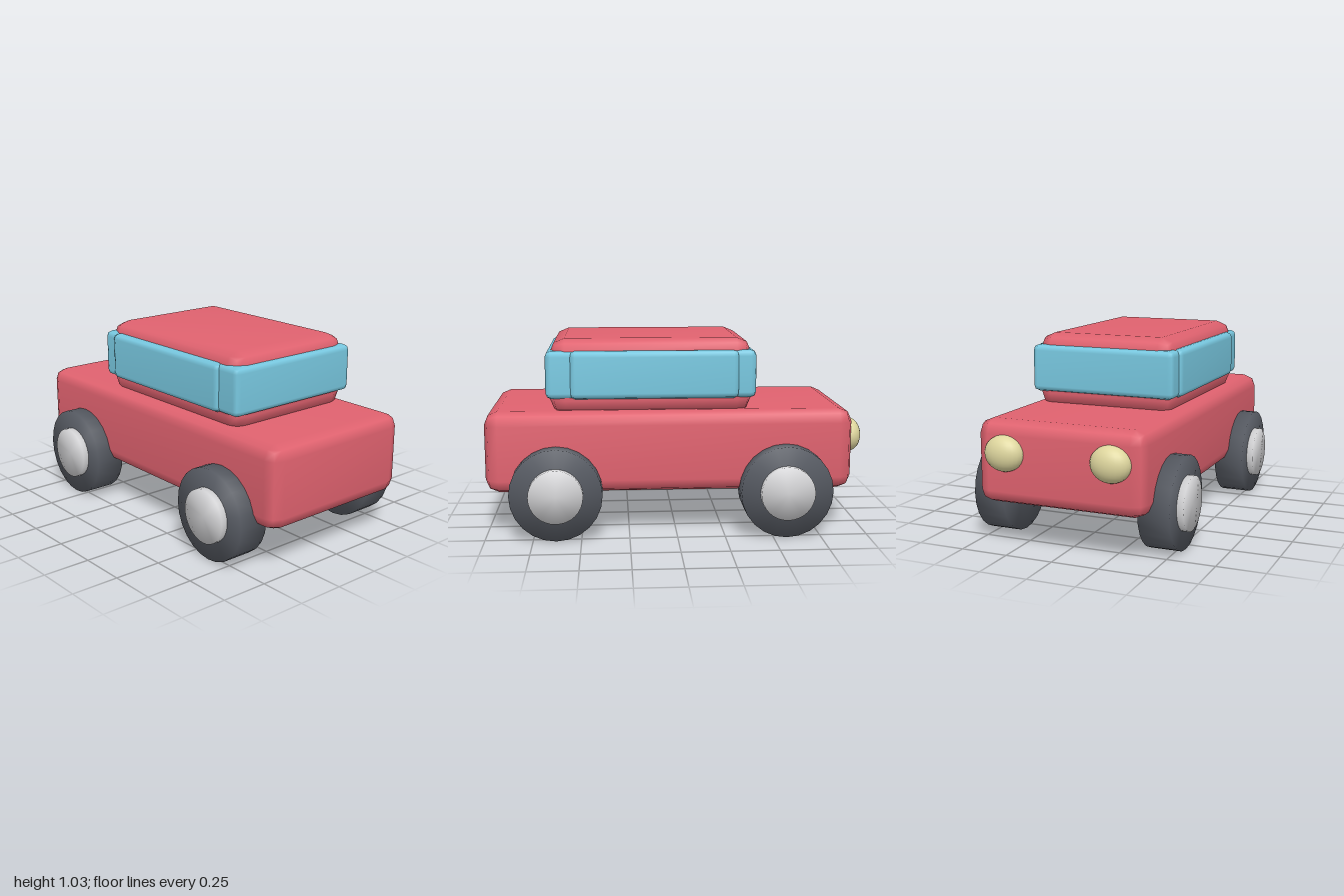
import * as THREE from 'three';
import { mergeVertices } from 'three/addons/utils/BufferGeometryUtils.js';
import { RoundedBoxGeometry } from 'three/addons/geometries/RoundedBoxGeometry.js';

const material = (name, color) => {
  const m = new THREE.MeshStandardMaterial({ color });
  m.name = name;
  return m;
};

// Weld all corners so the normals run softly over every edge.
function soften(geometry) {
  geometry.deleteAttribute('uv');
  geometry.deleteAttribute('normal');
  const g = mergeVertices(geometry, 1e-4);
  g.computeVertexNormals();
  return g;
}

export function createModel() {
  const paint = material('red paint', 0xe0626f);
  const glass = material('blue glass', 0x78c8e0);
  const rubber = material('dark rubber', 0x565a62);
  const metal = material('light metal', 0xd4d4d6);
  const lamp = material('pale yellow lamp', 0xded69e);

  const car = new THREE.Group();
  car.name = 'car';

  const add = (name, geometry, mat, x, y, z, parent = car) => {
    const mesh = new THREE.Mesh(geometry, mat);
    mesh.name = name;
    mesh.position.set(x, y, z);
    parent.add(mesh);
    return mesh;
  };

  // Bevelled box given by its extents; symmetric in z.
  const block = (name, mat, [x0, x1], [y0, y1], halfZ, bevel) =>
    add(name, soften(new RoundedBoxGeometry(x1 - x0, y1 - y0, halfZ * 2, 1, bevel)),
      mat, (x0 + x1) / 2, (y0 + y1) / 2, 0);

  // Body and cabin
  block('body', paint, [-0.93, 1.0], [0.23, 0.66], 0.45, 0.07);
  block('cabin', paint, [-0.4, 0.66], [0.63, 1.03], 0.385, 0.08);

  // Window band: front and rear panes, then the side panes standing slightly proud
  block('endWindows', glass, [-0.42, 0.68], [0.72, 0.97], 0.4, 0.03);
  block('sideWindows', glass, [-0.33, 0.555], [0.72, 0.97], 0.417, 0.03);

  // Wheels with hubcaps
  const disc = (radius, width, sides) =>
    soften(new THREE.CylinderGeometry(radius, radius, width, sides).rotateX(Math.PI / 2));
  const tyre = disc(0.241, 0.165, 24);
  const cap = disc(0.141, 0.1, 32);
  for (const [end, x] of [['front', -0.57], ['rear', 0.63]]) {
    for (const side of [1, -1]) {
      const wheel = new THREE.Group();
      wheel.name = `${end}Wheel`;
      wheel.position.set(x, 0.243, side * 0.452);
      add('tyre', tyre, rubber, 0, 0, 0, wheel);
      add('hubcap', cap, metal, 0, 0, side * 0.067, wheel);
      car.add(wheel);
    }
  }

  // Headlights
  const bulb = new THREE.SphereGeometry(1, 24, 16).scale(0.07, 0.092, 0.105);
  for (const side of [1, -1]) add('headlight', bulb, lamp, -0.93, 0.5, side * 0.285);

  return car;
}
